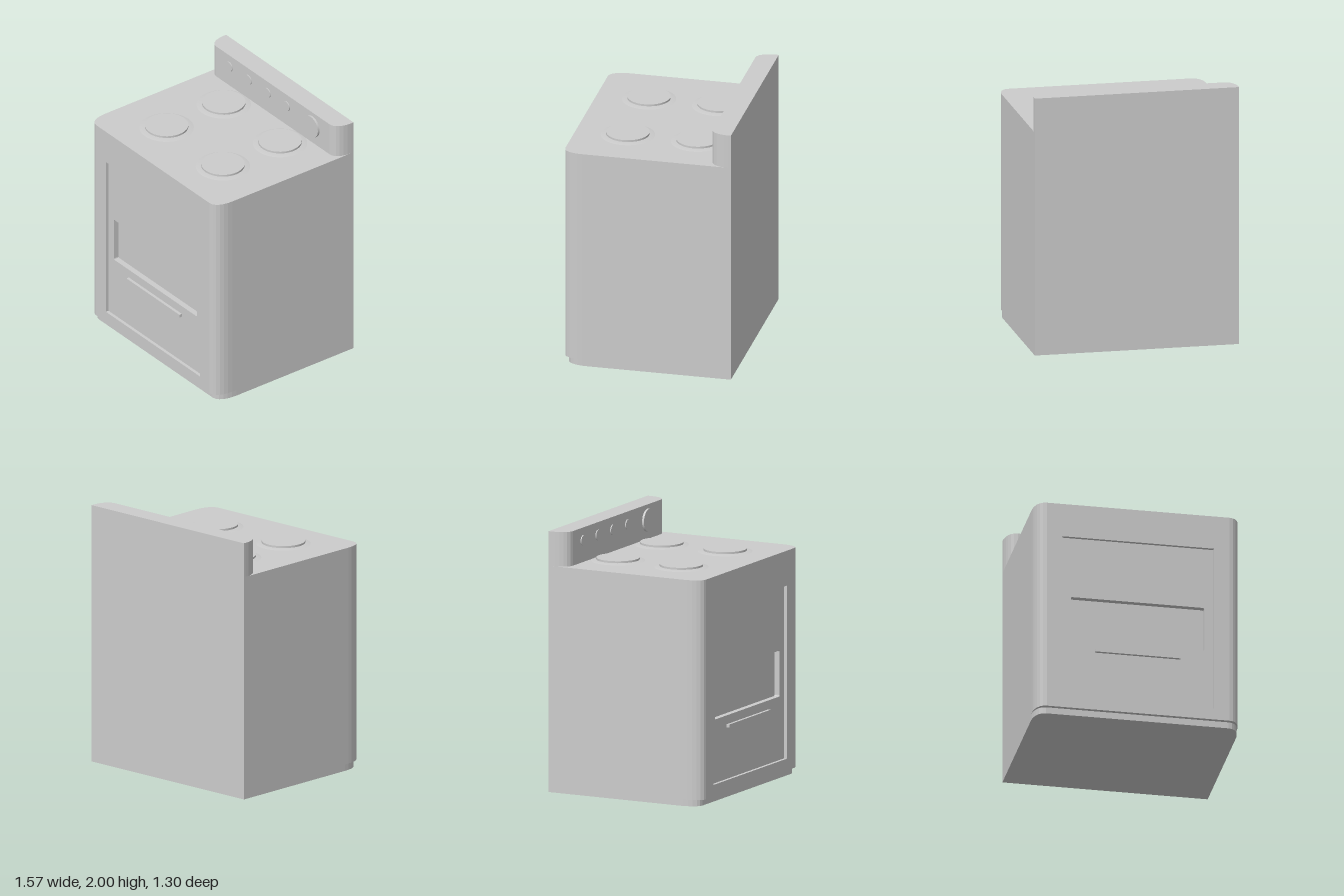
import * as THREE from 'three';

const material = new THREE.MeshStandardMaterial({ color: 0xcccccc });
const W = 0.787, BACK = -0.65, FRONT = 0.65, COOKTOP = 1.735, PLINTH = 0.05;

function add(parent, name, geometry, x = 0, y = 0, z = 0) {
  const mesh = new THREE.Mesh(geometry, material);
  mesh.name = name;
  mesh.position.set(x, y, z);
  parent.add(mesh);
  return mesh;
}

// Floor plan with a square back and curved front corners, extruded upwards.
// An optional notch leaves room for the front panel.
function planSolid(front, curveStart, y0, y1, notch = 0) {
  const flat = 0.7, s = new THREE.Shape();
  s.moveTo(-W, -BACK);
  s.lineTo(-W, -curveStart);
  s.bezierCurveTo(-W, -(curveStart + front) / 2, -0.76, -front, -flat, -front);
  if (notch) {
    s.lineTo(-flat, -front + notch);
    s.lineTo(flat, -front + notch);
  }
  s.lineTo(flat, -front);
  s.bezierCurveTo(0.76, -front, W, -(curveStart + front) / 2, W, -curveStart);
  s.lineTo(W, -BACK);
  s.closePath();
  const g = new THREE.ExtrudeGeometry(s, { depth: y1 - y0, bevelEnabled: false, curveSegments: 6 });
  return g.rotateX(-Math.PI / 2).translate(0, y0, 0);
}

// Rectangle outline with slightly rounded corners
function rect(PathType, hx, y0, y1, r = 0) {
  const p = new PathType();
  p.moveTo(-hx + r, y0);
  p.lineTo(hx - r, y0);
  if (r) p.quadraticCurveTo(hx, y0, hx, y0 + r);
  p.lineTo(hx, y1 - r);
  if (r) p.quadraticCurveTo(hx, y1, hx - r, y1);
  p.lineTo(-hx + r, y1);
  if (r) p.quadraticCurveTo(-hx, y1, -hx, y1 - r);
  p.lineTo(-hx, y0 + r);
  if (r) p.quadraticCurveTo(-hx, y0, -hx + r, y0);
  return p;
}

// Upright panel with one opening
function framePanel(outer, opening, z0, z1) {
  outer.holes.push(opening);
  return new THREE.ExtrudeGeometry(outer, { depth: z1 - z0, bevelEnabled: false, curveSegments: 4 })
    .translate(0, 0, z0);
}

export function createModel() {
  const stove = new THREE.Group();
  stove.name = 'stove';

  // Cabinet
  const notch = 0.07, inner = FRONT - notch, doorFace = 0.625;
  add(stove, 'plinth', planSolid(0.62, 0.46, 0, PLINTH));
  add(stove, 'body', planSolid(FRONT, 0.5, PLINTH, COOKTOP, notch));
  add(stove, 'frontPanel', framePanel(
    rect(THREE.Shape, 0.7, PLINTH, COOKTOP), rect(THREE.Path, 0.58, 0.14, 1.467), inner, FRONT));

  // Recessed oven door with a deeper window and a slim handle
  const door = new THREE.Group();
  door.name = 'ovenDoor';
  stove.add(door);
  add(door, 'doorPanel', framePanel(
    rect(THREE.Shape, 0.58, 0.14, 1.467), rect(THREE.Path, 0.512, 0.627, 0.98, 0.012), inner, doorFace));
  add(door, 'doorHandle', new THREE.BoxGeometry(0.655, 0.024, 0.03), 0, 0.547, doorFace + 0.008);

  // Control panel and knobs
  const panelFront = -0.49;
  add(stove, 'controlPanel', planSolid(panelFront, -0.63, COOKTOP, 2));
  const knob = (name, x, y, r, out) => add(stove, name,
    new THREE.CylinderGeometry(r, r, out + 0.01, 32).rotateX(Math.PI / 2),
    x, y, panelFront + (out - 0.01) / 2);
  [-0.537, -0.302, -0.067, 0.17].forEach((x) => knob('burnerKnob', x, 1.902, 0.04, 0.008));
  knob('clockDial', 0.487, 1.88, 0.088, 0.016);

  // Burners: shallow sloping dish with a raised hot plate
  const dish = [[0.205, 0], [0.15, 0.009], [0, 0.009]].map(([x, y]) => new THREE.Vector2(x, y));
  for (const x of [-0.35, 0.345]) {
    for (const z of [-0.292, 0.25]) {
      const burner = new THREE.Group();
      burner.name = 'burner';
      burner.position.set(x, COOKTOP, z);
      stove.add(burner);
      add(burner, 'burnerDish', new THREE.LatheGeometry(dish, 40));
      add(burner, 'hotPlate', new THREE.CylinderGeometry(0.164, 0.164, 0.015, 40), 0, 0.0165, 0);
    }
  }
  return stove;
}
